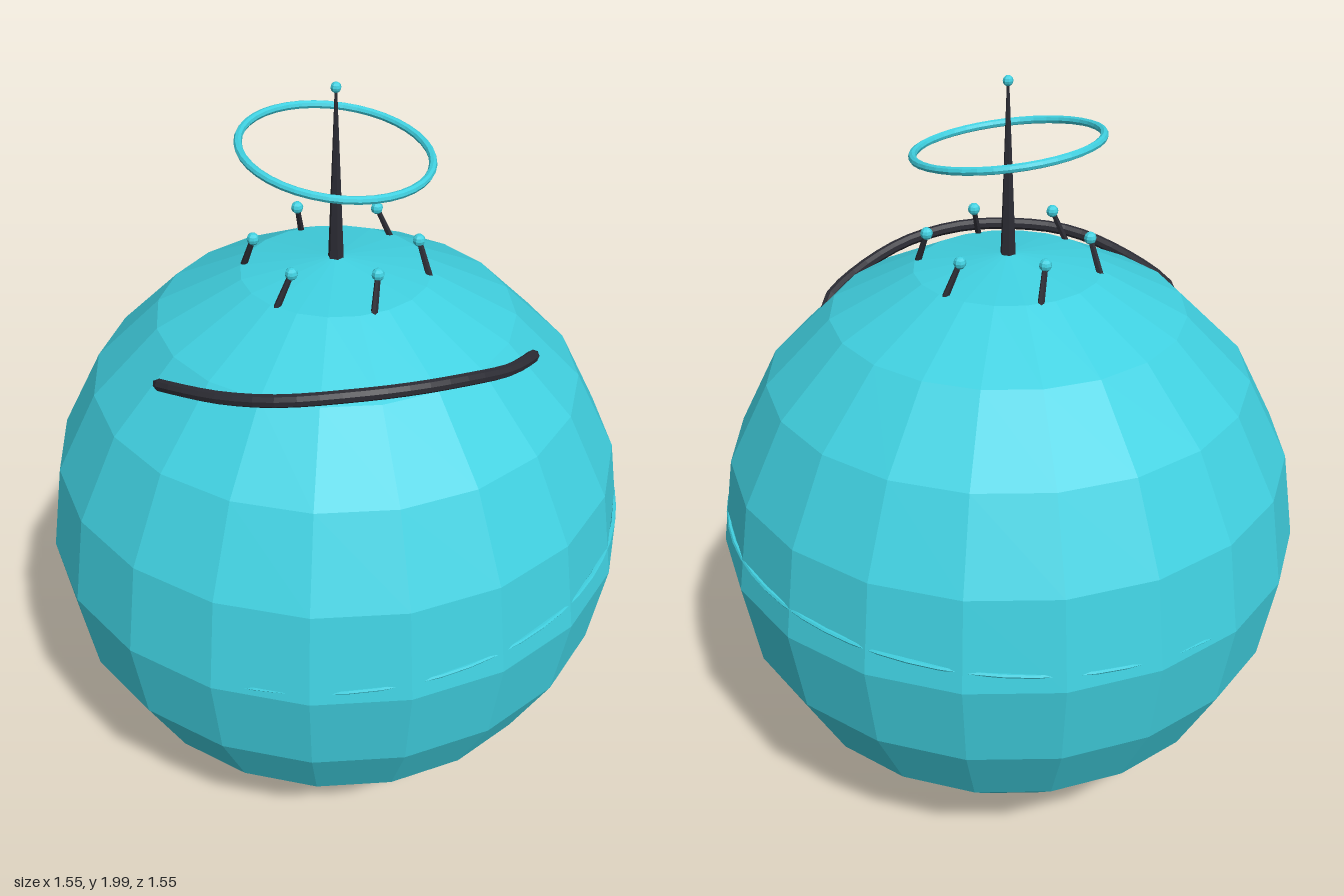
import * as THREE from 'three';

const teal = new THREE.MeshStandardMaterial({ color: 0x40d0e0, flatShading: true });
const dark = new THREE.MeshStandardMaterial({ color: 0x2c2c34, flatShading: true });

const V = (x, y, z) => new THREE.Vector3(x, y, z);

function add(parent, name, geometry, material, x = 0, y = 0, z = 0) {
  const mesh = new THREE.Mesh(geometry, material);
  mesh.name = name;
  mesh.position.set(x, y, z);
  parent.add(mesh);
  return mesh;
}

// Straight rod between two points
function rod(parent, name, from, to, rTop, rBottom, sides, material) {
  const dir = to.clone().sub(from);
  const mid = from.clone().add(to).multiplyScalar(0.5);
  const mesh = add(parent, name, new THREE.CylinderGeometry(rTop, rBottom, dir.length(), sides),
    material, mid.x, mid.y, mid.z);
  mesh.quaternion.setFromUnitVectors(V(0, 1, 0), dir.normalize());
  return mesh;
}

export function createModel() {
  const model = new THREE.Group();
  model.name = 'sphereOrnament';

  // Faceted body
  add(model, 'body', new THREE.SphereGeometry(0.775, 20, 10), teal, 0, 0.78, 0);

  // Thin tilted belt, almost sunk into the body
  const belt = new THREE.TorusGeometry(0.759, 0.006, 6, 64).rotateX(Math.PI / 2);
  add(model, 'belt', belt, teal, 0, 0.82, 0).rotation.z = 0.06;

  // Central spire and its tip
  rod(model, 'spire', V(0, 1.53, 0), V(0, 1.985, 0), 0.003, 0.021, 6, dark);
  add(model, 'spireTip', new THREE.SphereGeometry(0.013, 8, 6), teal, 0, 1.986, 0);

  // Tilted floating ring
  const ring = new THREE.TorusGeometry(0.232, 0.01, 8, 40).rotateX(Math.PI / 2);
  add(model, 'halo', ring, teal, 0, 1.833, 0).rotation.set(0.1, 0, -0.1);

  // Six leaning pins around the spire
  for (let i = 0; i < 6; i++) {
    const a = 0.25 + i * Math.PI / 3;
    const c = Math.cos(a), s = Math.sin(a);
    const pin = new THREE.Group();
    pin.name = 'pin';
    const head = V(0.204 * c, 1.598, 0.204 * s);
    const foot = V(0.236 * c - 0.029 * s, 1.5, 0.236 * s + 0.029 * c);
    rod(pin, 'pinStem', foot, head, 0.007, 0.009, 6, dark);
    add(pin, 'pinHead', new THREE.SphereGeometry(0.016, 8, 6), teal, head.x, head.y, head.z);
    model.add(pin);
  }

  // Dark curved band across the upper front, its ends sinking into the body
  const path = new THREE.CatmullRomCurve3([
    V(-0.48, 1.33, 0.13), V(-0.47, 1.355, 0.18), V(-0.35, 1.405, 0.34),
    V(-0.23, 1.433, 0.425), V(-0.06, 1.447, 0.463), V(0.07, 1.445, 0.463),
    V(0.21, 1.427, 0.428), V(0.34, 1.39, 0.357), V(0.44, 1.352, 0.255), V(0.455, 1.33, 0.22),
  ]);
  add(model, 'browBand', new THREE.TubeGeometry(path, 24, 0.016, 8), dark);

  return model;
}
